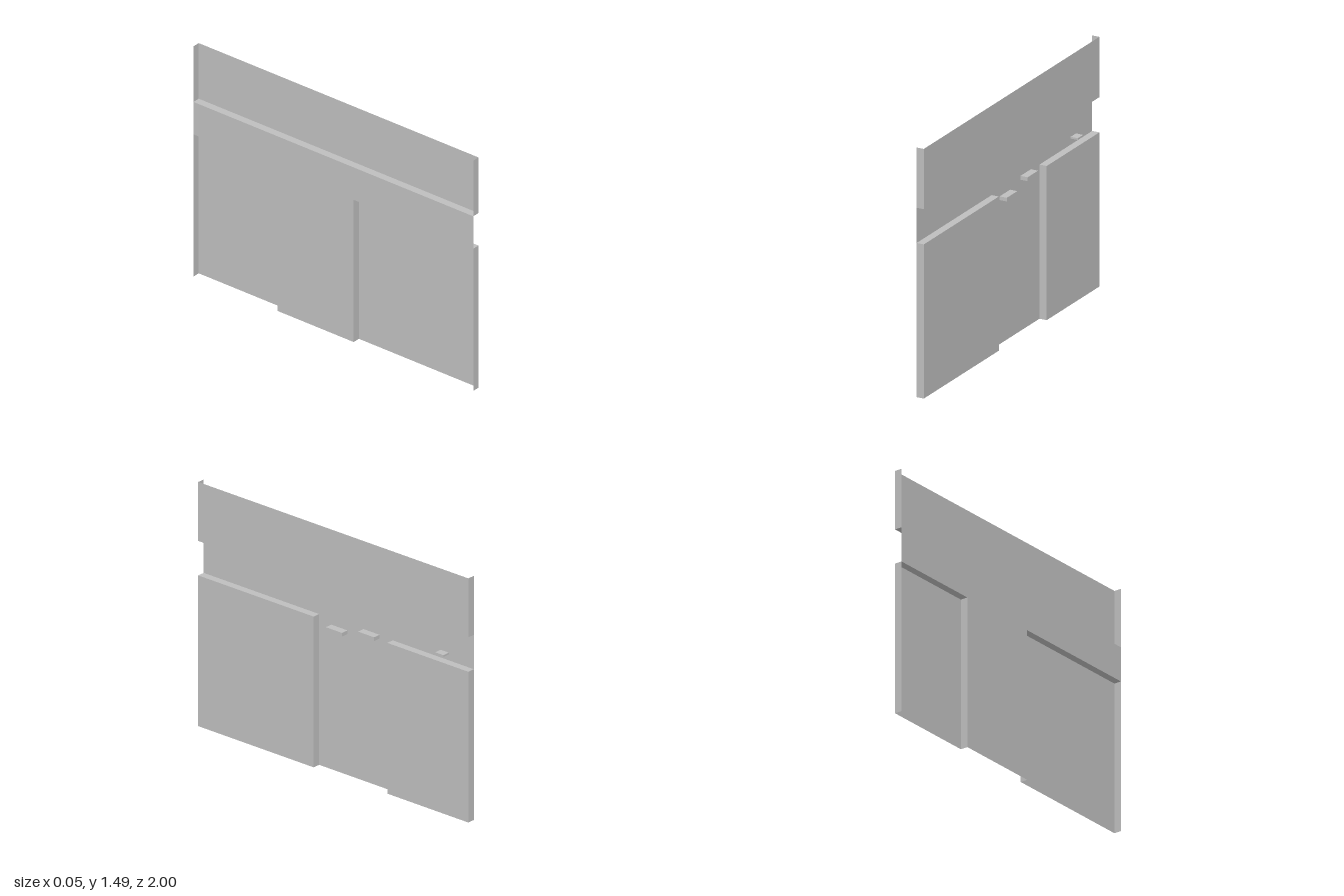
import * as THREE from 'three';

const D = 0.023; // half depth of the relief
const TOP = 1.49, HEADER = 1.13, SILL = 0.92;
const Z_FRONT = 0.145, Z_BACK = -0.4;

const grey = new THREE.MeshStandardMaterial({ color: 0xbebebe, side: THREE.DoubleSide });
grey.name = 'plain grey';

function plane(name, w, h, position, rx, ry) {
  const mesh = new THREE.Mesh(new THREE.PlaneGeometry(w, h), grey);
  mesh.name = name;
  mesh.position.set(...position);
  mesh.rotation.set(rx, ry, 0);
  return mesh;
}

// upright sheet facing +x
const sheet = (name, x, z0, z1, y0, y1) =>
  plane(name, z1 - z0, y1 - y0, [x, (y0 + y1) / 2, (z0 + z1) / 2], 0, Math.PI / 2);

// upright strip across the depth, facing +z (dir 1) or -z (dir -1)
const returnStrip = (name, z, y0, y1, dir) =>
  plane(name, 2 * D, y1 - y0, [0, (y0 + y1) / 2, z], 0, dir > 0 ? 0 : Math.PI);

// level strip across the depth, facing up (dir 1) or down (dir -1)
const ledge = (name, y, z0, z1, dir) =>
  plane(name, 2 * D, z1 - z0, [0, y, (z0 + z1) / 2], -dir * Math.PI / 2, 0);

// raised panel: face and two side returns
function raisedPanel(name, z0, z1, y0, y1) {
  const group = new THREE.Group();
  group.name = name;
  group.add(
    sheet('panelFace', D, z0, z1, y0, y1),
    returnStrip('panelSideBack', z0, y0, y1, -1),
    returnStrip('panelSideFront', z1, y0, y1, 1)
  );
  return group;
}

export function createModel() {
  const model = new THREE.Group();
  model.name = 'wallPanel';

  // upper panel, open at the top, with its underside
  const header = raisedPanel('upperPanel', -1, 1, HEADER, TOP);
  header.add(ledge('panelUnderside', HEADER, -1, 1, -1));
  model.add(header);

  // lower panels, open at the bottom, with their top ledges
  for (const [name, z0, z1] of [['wideLowerPanel', Z_FRONT, 1], ['narrowLowerPanel', -1, Z_BACK]]) {
    const panel = raisedPanel(name, z0, z1, 0, SILL);
    panel.add(ledge('panelLedge', SILL, z0, z1, 1));
    model.add(panel);
  }

  // recessed sheet between the panels
  model.add(sheet('recessedBand', -D, -1, 1, SILL, HEADER));
  model.add(sheet('recessedBay', -D, Z_BACK, Z_FRONT, 0, SILL));

  // small blocks standing out from the recess: z range, y range
  for (const [z0, z1, y0, y1] of [
    [-0.065, 0.055, 0.86, 0.882],
    [-0.302, -0.183, 0.902, 0.925],
    [-0.815, -0.755, 0.956, 0.967],
  ]) {
    const block = new THREE.Mesh(new THREE.BoxGeometry(2 * D, y1 - y0, z1 - z0), grey);
    block.name = 'smallBlock';
    block.position.set(0, (y0 + y1) / 2, (z0 + z1) / 2);
    model.add(block);
  }
  return model;
}
